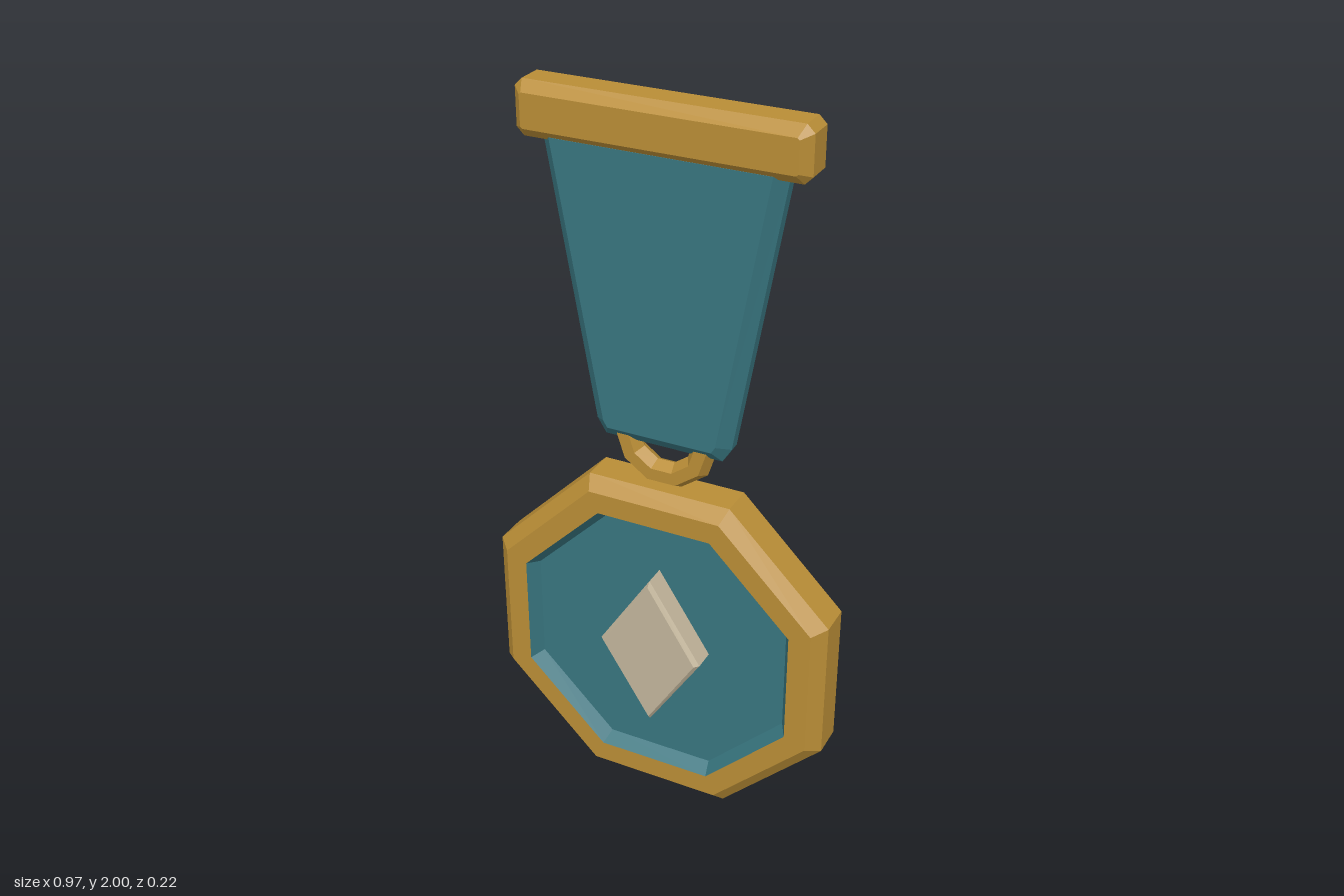
import * as THREE from 'three';

const gold = new THREE.MeshStandardMaterial({ color: 0xb98d36 });
const teal = new THREE.MeshStandardMaterial({ color: 0x38757f });
const ivory = new THREE.MeshStandardMaterial({ color: 0xc2b59b });
gold.name = 'gold';
teal.name = 'teal enamel';
ivory.name = 'ivory';

// Faceted mesh with one normal per face
function part(name, geometry, material, y = 0) {
  const flat = geometry.index ? geometry.toNonIndexed() : geometry;
  flat.computeVertexNormals();
  const mesh = new THREE.Mesh(flat, material);
  mesh.name = name;
  mesh.position.y = y;
  return mesh;
}

// Plate centred on z = 0 whose front and back edges are chamfered inside the outline
function plate(outline, halfDepth, inset, chamferDepth) {
  const shape = new THREE.Shape(outline.map(([x, y]) => new THREE.Vector2(x, y)));
  const depth = 2 * (halfDepth - chamferDepth);
  const geometry = new THREE.ExtrudeGeometry(shape, {
    depth, bevelEnabled: true, bevelSegments: 1,
    bevelSize: inset, bevelOffset: -inset, bevelThickness: chamferDepth,
  });
  return geometry.translate(0, 0, -depth / 2);
}

// Outline completed by mirroring its right half (listed bottom to top)
function mirrored(half) {
  return [...half, ...half.map(([x, y]) => [-x, y]).reverse()];
}

// Octagonal turning facing +z, from [apothem, z] pairs
function octagon(profile) {
  const points = profile.map(([a, z]) => new THREE.Vector2(a / Math.cos(Math.PI / 8), z));
  return new THREE.LatheGeometry(points, 8, Math.PI / 8).rotateX(Math.PI / 2);
}

export function createModel() {
  const model = new THREE.Group();
  model.name = 'medal';
  const centreY = 0.485;

  // Top bar with clipped corners
  const bar = mirrored([[0.36, 1.86], [0.38, 1.88], [0.38, 1.98], [0.36, 2.0]]);
  model.add(part('topBar', plate(bar, 0.062, 0.026, 0.027), gold));

  // Tapering ribbon, tucked into the bar
  const ribbon = mirrored([[0.165, 1.085], [0.19, 1.125], [0.325, 1.9]]);
  model.add(part('ribbon', plate(ribbon, 0.045, 0.034, 0.03), teal));

  // Hanging ring
  model.add(part('ring', new THREE.TorusGeometry(0.112, 0.035, 6, 10), gold, 1.11));

  // Chamfered octagonal rim
  model.add(part('rim', octagon([
    [0.39, -0.08], [0.45, -0.08], [0.485, -0.045],
    [0.485, 0.045], [0.45, 0.08], [0.39, 0.08],
  ]), gold, centreY));

  // Recessed enamel with sloping walls, front and back
  model.add(part('enamel', octagon([
    [0, -0.04], [0.368, -0.04], [0.39, -0.08],
    [0.39, 0.08], [0.368, 0.04], [0, 0.04],
  ]), teal, centreY));

  // Diamond passing through to both sides
  const diamond = [[0, -0.23], [0.148, 0], [0, 0.23], [-0.148, 0]];
  model.add(part('diamond', plate(diamond, 0.111, 0.01, 0.012), ivory, centreY + 0.005));

  return model;
}
